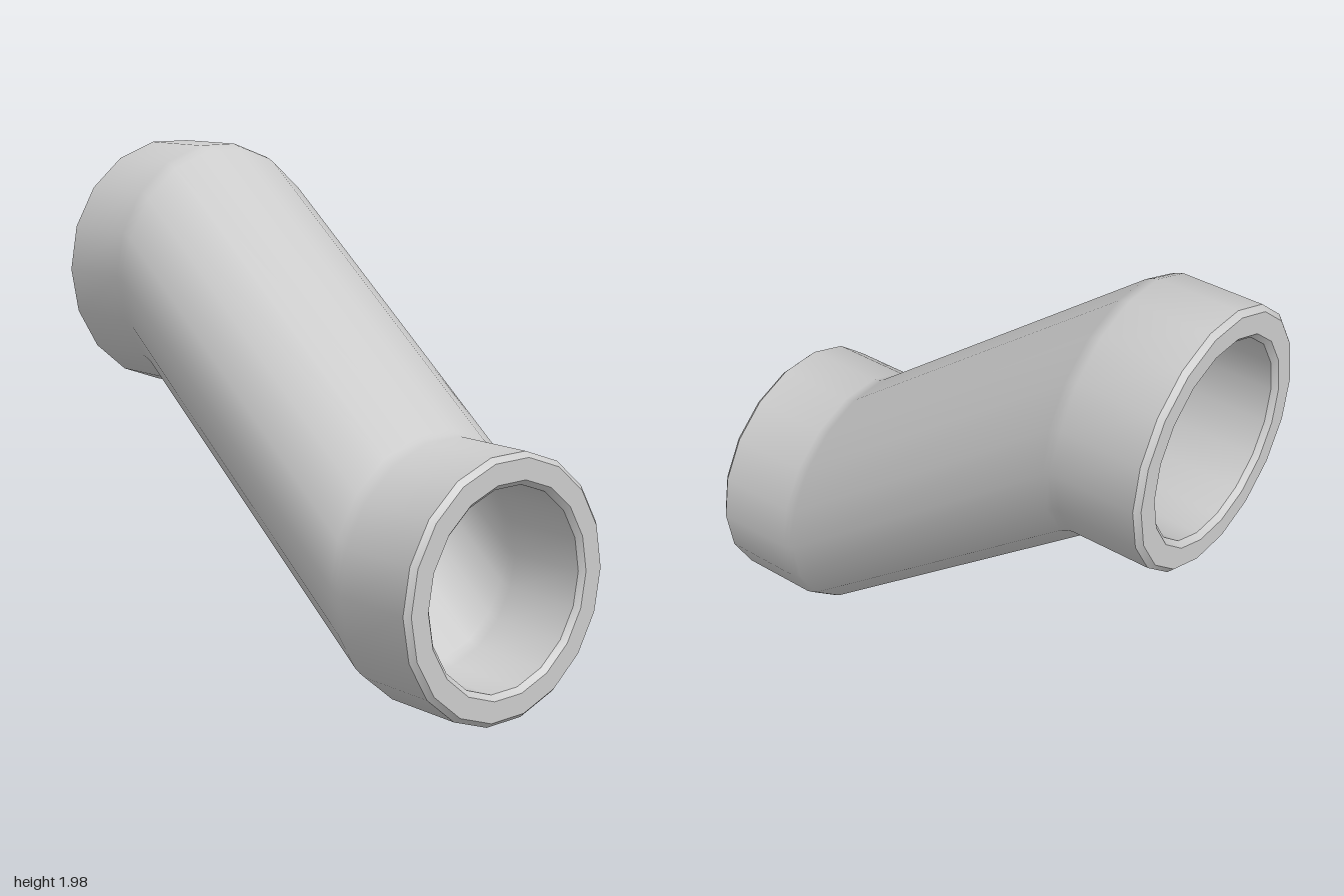
import * as THREE from 'three';
import { toCreasedNormals } from 'three/addons/utils/BufferGeometryUtils.js';

const SIDES = 18;
const LOW = 0.4924, HIGH = 1.4924; // axis heights of the two mouths
const MID = (LOW + HIGH) / 2;

// Half of the centre line, from the left-hand mouth to the middle: [x, height above the middle]
const half = [[-0.66, 0.5], [-0.635, 0.492], [-0.61, 0.48]];
const bends = [...half, ...half.map(([x, y]) => [-x, -y]).reverse()];

// Rings along one wall of the pipe: chamfered mouth, straight, two soft bends, chamfered mouth
function wall(radius, mouthRadius) {
  return [
    [-1, HIGH, mouthRadius],
    [-0.98, HIGH, radius],
    ...bends.map(([x, y]) => [x, MID + y, radius]),
    [0.98, LOW, radius],
    [1, LOW, mouthRadius],
  ];
}

// Upright rings joined into a closed skin; the last ring joins back to the first
function skin(rings) {
  const positions = [], index = [];
  rings.forEach(([x, y, r], i) => {
    const next = (i + 1) % rings.length;
    for (let j = 0; j < SIDES; j++) {
      const angle = (j / SIDES) * Math.PI * 2, k = (j + 1) % SIDES;
      positions.push(x, y + r * Math.sin(angle), r * Math.cos(angle));
      const a = i * SIDES + j, b = next * SIDES + j;
      const c = next * SIDES + k, d = i * SIDES + k;
      index.push(a, b, c, a, c, d);
    }
  });
  const geometry = new THREE.BufferGeometry();
  geometry.setAttribute('position', new THREE.Float32BufferAttribute(positions, 3));
  geometry.setIndex(index);
  return toCreasedNormals(geometry, Math.PI / 6);
}

export function createModel() {
  const group = new THREE.Group();
  group.name = 'offsetPipe';

  // Outer wall, then back through the bore; the end faces close between them
  const rings = [...wall(0.5, 0.48), ...wall(0.38, 0.4).reverse()];
  const pipe = new THREE.Mesh(skin(rings), new THREE.MeshStandardMaterial({ color: 0xcccccc }));
  pipe.name = 'pipe';
  group.add(pipe);
  return group;
}
